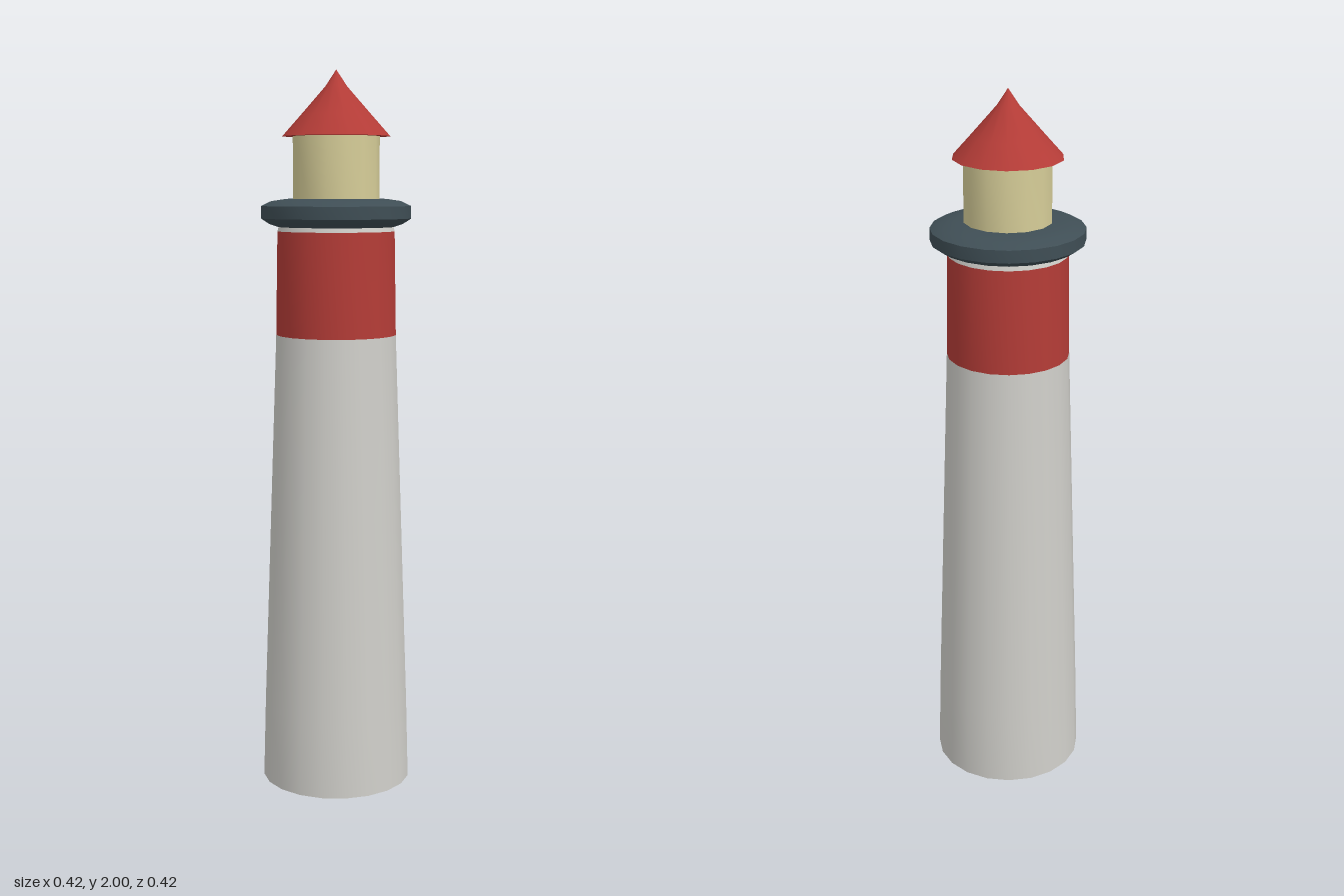
import * as THREE from 'three';
import { toCreasedNormals } from 'three/addons/utils/BufferGeometryUtils.js';

// Turned part from a bottom-to-top profile of [radius, height] points
function turned(name, color, sides, profile) {
  const points = profile.map(([r, y]) => new THREE.Vector2(r, y));
  const geometry = toCreasedNormals(new THREE.LatheGeometry(points, sides), 0.6);
  geometry.rotateY(Math.PI / 2); // a corner points along x
  const mesh = new THREE.Mesh(geometry, new THREE.MeshStandardMaterial({ color }));
  mesh.name = name;
  return mesh;
}

export function createModel() {
  const group = new THREE.Group();
  group.name = 'lighthouse';
  const white = 0xd0cfca, red = 0xb43c37;

  group.add(
    // Tapering tower with its coloured band and pale collar
    turned('tower', white, 20, [[0, 0], [0.211, 0], [0.205, 0.22], [0.168, 1.28]]),
    turned('band', red, 20, [[0.168, 1.28], [0.163, 1.565]]),
    turned('collar', white, 20, [[0.163, 1.565], [0.158, 1.585], [0, 1.585]]),
    // Overhanging gallery ring with rounded top
    turned('gallery', 0x3f4e55, 20, [
      [0, 1.575], [0.155, 1.575], [0.185, 1.585], [0.208, 1.6],
      [0.208, 1.634], [0.18, 1.647], [0.14, 1.653], [0, 1.653],
    ]),
    // Lantern room
    turned('lantern', 0xd6cd98, 14, [[0, 1.64], [0.119, 1.64], [0.119, 1.825], [0, 1.825]]),
    // Pointed roof with a slight flare
    turned('roof', red, 14, [[0, 1.822], [0.148, 1.822], [0.097, 1.879], [0.03, 1.955], [0, 2]]),
  );
  return group;
}
